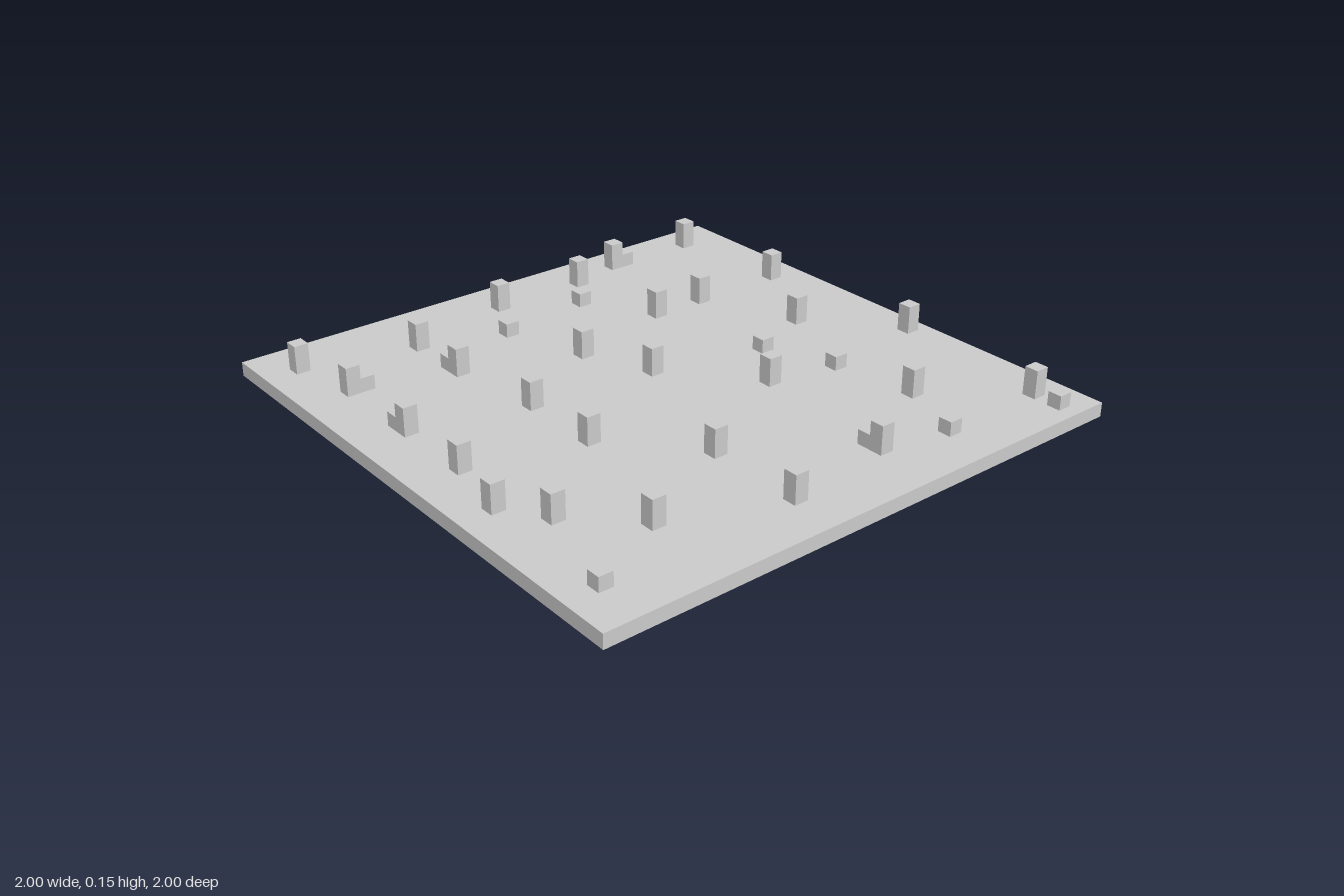
import * as THREE from 'three';

const CELL = 0.05; // the slab is a 40 x 40 grid of square cells

// [column, row] of each block, counted from the back (-x, -z) corner
const TALL = [
  [2, 3], [18, 3], [25, 3], [29, 2], [36, 2], [10, 5], [3, 8], [10, 10],
  [26, 11], [30, 11], [37, 11], [18, 13], [3, 15], [11, 17], [20, 18],
  [33, 18], [3, 21], [11, 23], [25, 24], [38, 24], [2, 26], [4, 29],
  [16, 29], [31, 31], [8, 33], [24, 35], [16, 36], [37, 36],
];
const SHORT = [
  [30, 2], [23, 6], [16, 7], [4, 8], [10, 9], [3, 14], [28, 20],
  [30, 25], [24, 34], [2, 36], [29, 36], [37, 38],
];

export function createModel() {
  const model = new THREE.Group();
  model.name = 'blockField';
  const material = new THREE.MeshStandardMaterial({ color: 0xcccccc, flatShading: true });

  // Square ground slab
  const slab = new THREE.Mesh(new THREE.BoxGeometry(2, CELL, 2), material);
  slab.name = 'groundSlab';
  slab.position.y = CELL / 2;
  model.add(slab);

  // One group of equal blocks standing on the slab
  function addBlocks(groupName, blockName, cells, height) {
    const group = new THREE.Group();
    group.name = groupName;
    const geometry = new THREE.BoxGeometry(CELL, height, CELL);
    for (const [column, row] of cells) {
      const block = new THREE.Mesh(geometry, material);
      block.name = blockName;
      block.position.set((column - 19.5) * CELL, CELL + height / 2, (row - 19.5) * CELL);
      group.add(block);
    }
    model.add(group);
  }

  addBlocks('tallBlocks', 'tallBlock', TALL, 2 * CELL);
  addBlocks('shortBlocks', 'shortBlock', SHORT, CELL);

  return model;
}
